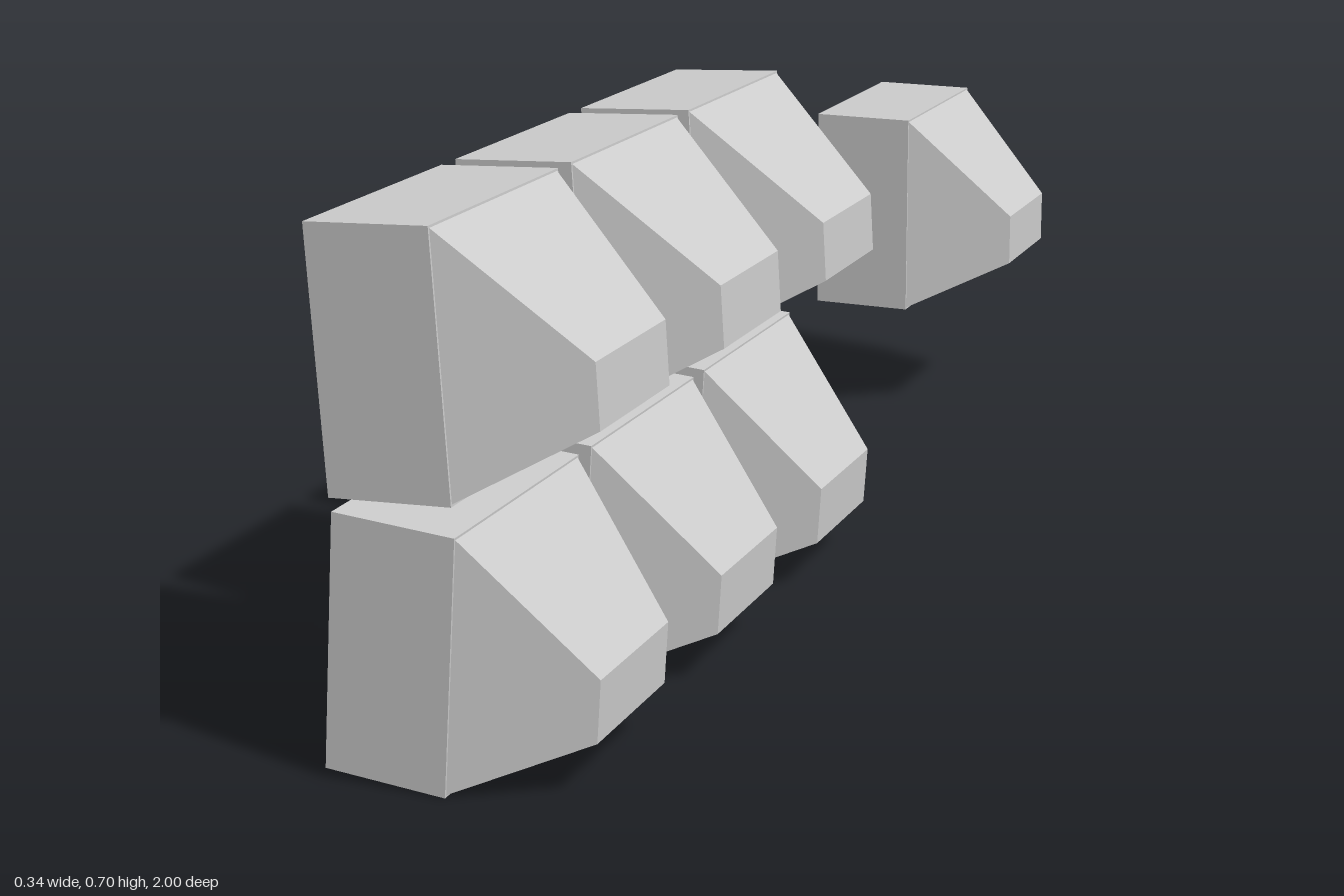
import * as THREE from 'three';

const material = new THREE.MeshStandardMaterial({ color: 0xcccccc, flatShading: true });
const SIZE = 0.334, DEPTH = 0.164, RECESS = 0.01, MARGIN = 0.046, LEDGE = 0.003;

function part(geometry, name) {
  const mesh = new THREE.Mesh(geometry, material);
  mesh.name = name;
  return mesh;
}

// Solid body behind the joint plane at x = 0
function housingGeometry() {
  const d = DEPTH - RECESS;
  return new THREE.BoxGeometry(d, SIZE, SIZE).translate(-d / 2, 0, 0);
}

// Raised border around the sunken back panel
function rimGeometry() {
  const h = SIZE / 2, i = h - MARGIN;
  const shape = new THREE.Shape([[-h, -h], [h, -h], [h, h], [-h, h]].map(p => new THREE.Vector2(...p)));
  shape.holes.push(new THREE.Path([[-i, -i], [-i, i], [i, i], [i, -i]].map(p => new THREE.Vector2(...p))));
  return new THREE.ExtrudeGeometry(shape, { depth: RECESS, bevelEnabled: false })
    .rotateY(Math.PI / 2)
    .translate(-DEPTH, 0, 0);
}

// Tapered horn whose small end sits below the centre line
function hornGeometry() {
  const length = 0.165, base = SIZE - 2 * LEDGE;
  const geometry = new THREE.BoxGeometry(length, base, base).translate(length / 2, 0, 0);
  const pos = geometry.attributes.position;
  for (let i = 0; i < pos.count; i++) {
    if (pos.getX(i) < length / 2) continue;
    pos.setY(i, Math.sign(pos.getY(i)) * 0.0415 - 0.043);
    pos.setZ(i, Math.sign(pos.getZ(i)) * 0.099);
  }
  geometry.computeVertexNormals();
  return geometry;
}

export function createModel() {
  const model = new THREE.Group();
  model.name = 'speakerArray';
  const housing = housingGeometry(), rim = rimGeometry(), horn = hornGeometry();

  function addSpeaker(name, y, z, tilt) {
    const speaker = new THREE.Group();
    speaker.name = name;
    speaker.add(part(housing, 'housing'), part(rim, 'backRim'), part(horn, 'horn'));
    speaker.position.set(0.003, y, z);
    speaker.rotation.z = THREE.MathUtils.degToRad(tilt);
    model.add(speaker);
  }

  // Two tilted rows of three
  for (let i = 0; i < 3; i++) {
    const z = 0.833 - i * 0.371;
    addSpeaker('upperSpeaker' + (i + 1), 0.54, z, 3.1);
    addSpeaker('lowerSpeaker' + (i + 1), 0.169, z, -4.1);
  }

  // Separate upright unit at the rear
  addSpeaker('rearSpeaker', 0.357, -0.833, 0);
  return model;
}
